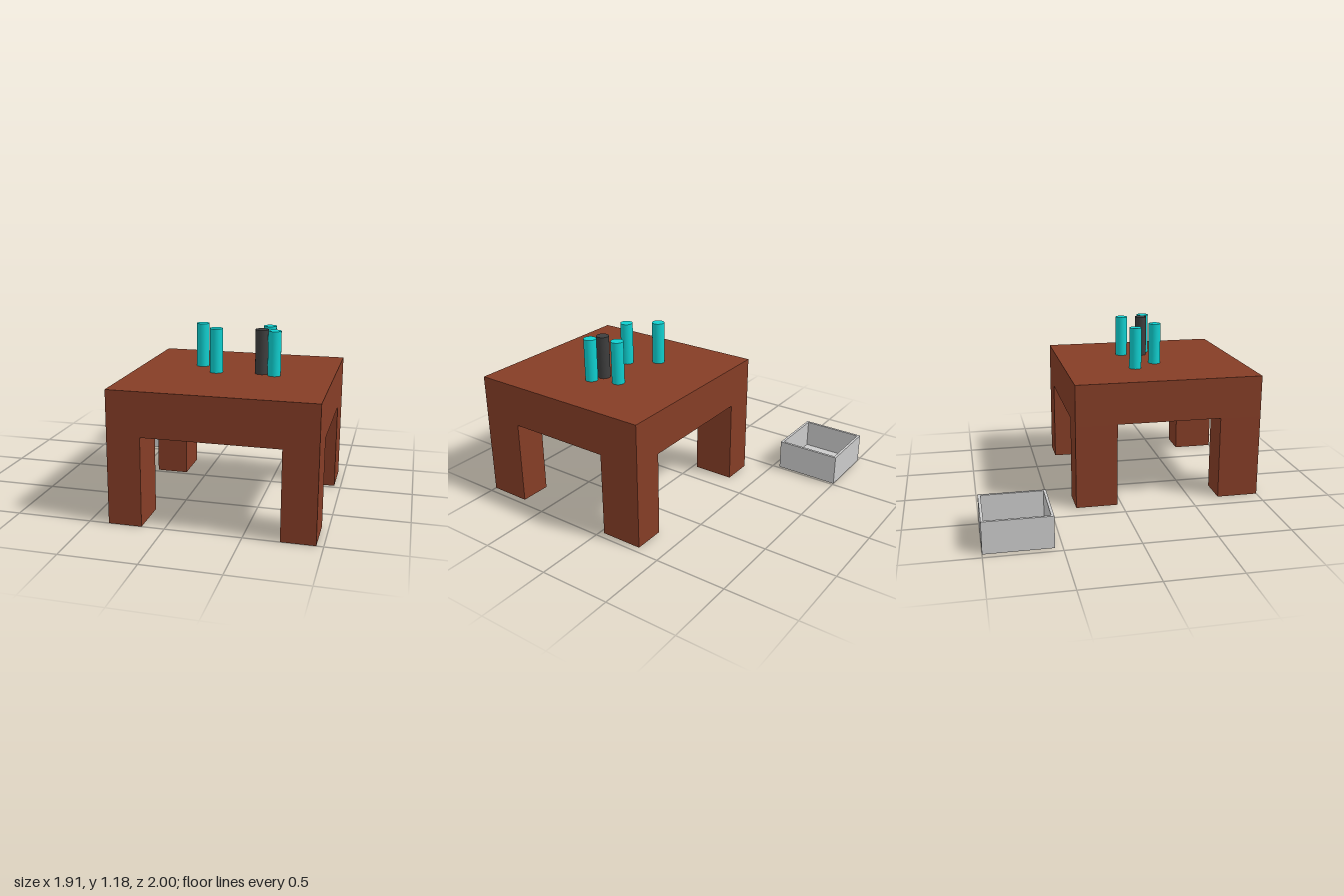
import * as THREE from 'three';

export function createModel() {
  const model = new THREE.Group();
  const wood = new THREE.MeshStandardMaterial({ color: 0x853d26 });
  const teal = new THREE.MeshStandardMaterial({ color: 0x0ed0d0 });
  const dark = new THREE.MeshStandardMaterial({ color: 0x3e3e3e });
  const grey = new THREE.MeshStandardMaterial({ color: 0xcccccc });

  // Box given by its lower and upper limits on each axis
  function addBox(parent, name, material, [x0, x1], [y0, y1], [z0, z1]) {
    const mesh = new THREE.Mesh(new THREE.BoxGeometry(x1 - x0, y1 - y0, z1 - z0), material);
    mesh.position.set((x0 + x1) / 2, (y0 + y1) / 2, (z0 + z1) / 2);
    mesh.name = name;
    parent.add(mesh);
  }

  // Table: thick top on four block legs
  const table = new THREE.Group();
  table.name = 'table';
  addBox(table, 'tableTop', wood, [-0.37, 0.955], [0.59, 0.882], [-0.323, 1]);
  for (const [sideName, x] of [['Right', [-0.37, -0.15]], ['Left', [0.735, 0.955]]]) {
    for (const [endName, z] of [['front', [0.707, 1]], ['back', [-0.323, -0.03]]]) {
      addBox(table, `${endName}${sideName}Leg`, wood, x, [0, 0.59], z);
    }
  }
  model.add(table);

  // Cylinders standing on the table top
  const cylinder = new THREE.CylinderGeometry(0.0435, 0.0435, 0.296, 32);
  const pegs = [
    ['tealCylinder', teal, 0.038, 0.184],
    ['tealCylinder', teal, 0.175, 0.36],
    ['tealCylinder', teal, 0.502, 0.179],
    ['tealCylinder', teal, 0.566, 0.36],
    ['darkCylinder', dark, 0.476, 0.325],
  ];
  for (const [name, material, x, z] of pegs) {
    const mesh = new THREE.Mesh(cylinder, material);
    mesh.position.set(x, 0.882 + 0.148, z);
    mesh.name = name;
    model.add(mesh);
  }

  // Open tray on the ground behind the table
  const tray = new THREE.Group();
  tray.name = 'tray';
  const x0 = -0.955, x1 = -0.515, z0 = -1, z1 = -0.55, h = 0.215, t = 0.018;
  addBox(tray, 'trayFloor', grey, [x0, x1], [0, t], [z0, z1]);
  addBox(tray, 'trayRightWall', grey, [x0, x0 + t], [t, h], [z0, z1]);
  addBox(tray, 'trayLeftWall', grey, [x1 - t, x1], [t, h], [z0, z1]);
  addBox(tray, 'trayBackWall', grey, [x0 + t, x1 - t], [t, h], [z0, z0 + t]);
  addBox(tray, 'trayFrontWall', grey, [x0 + t, x1 - t], [t, h], [z1 - t, z1]);
  model.add(tray);

  return model;
}
